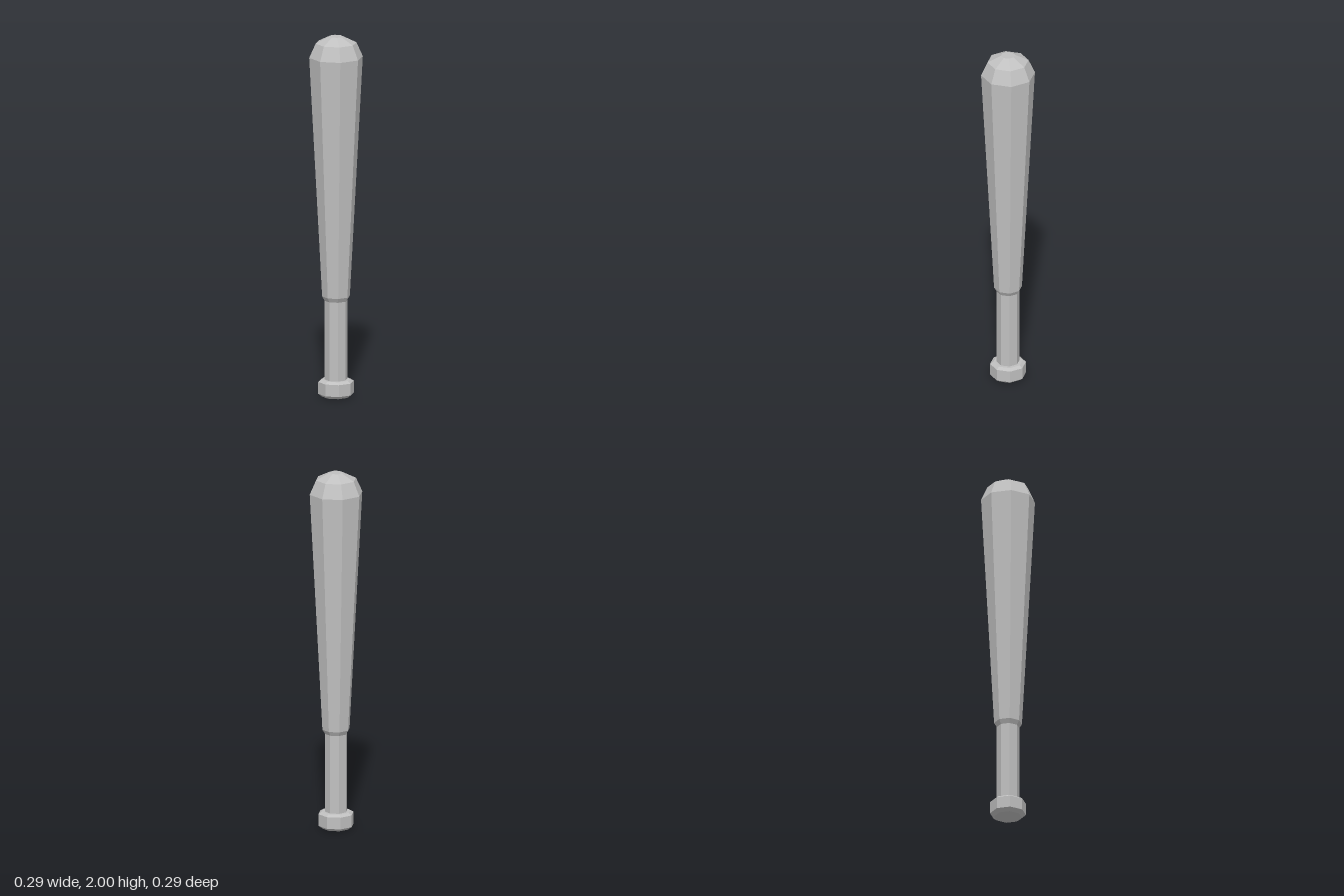
import * as THREE from 'three';

const SIDES = 8;

// Eight-sided faceted solid of revolution from [radius, height] pairs, bottom to top
function turned(name, profile, material) {
  const points = profile.map(([r, y]) => new THREE.Vector2(r, y));
  const geometry = new THREE.LatheGeometry(points, SIDES).toNonIndexed();
  geometry.computeVertexNormals();
  const mesh = new THREE.Mesh(geometry, material);
  mesh.name = name;
  return mesh;
}

export function createModel() {
  const metal = new THREE.MeshStandardMaterial({ color: 0xc0c0c0, flatShading: true });
  metal.name = 'light grey';

  const bat = new THREE.Group();
  bat.name = 'bat';

  // Bevelled knob at the foot, closed underneath
  bat.add(turned('knob', [
    [0, 0], [0.075, 0], [0.098, 0.017], [0.098, 0.083], [0.08, 0.095], [0.062, 0.095],
  ], metal));

  // Straight handle
  bat.add(turned('grip', [[0.062, 0.095], [0.062, 0.533]], metal));

  // Flared barrel with a two-step rounded tip
  bat.add(turned('barrel', [
    [0.062, 0.533], [0.076, 0.557], [0.147, 1.885], [0.112, 1.963], [0.038, 2], [0, 2],
  ], metal));

  return bat;
}
